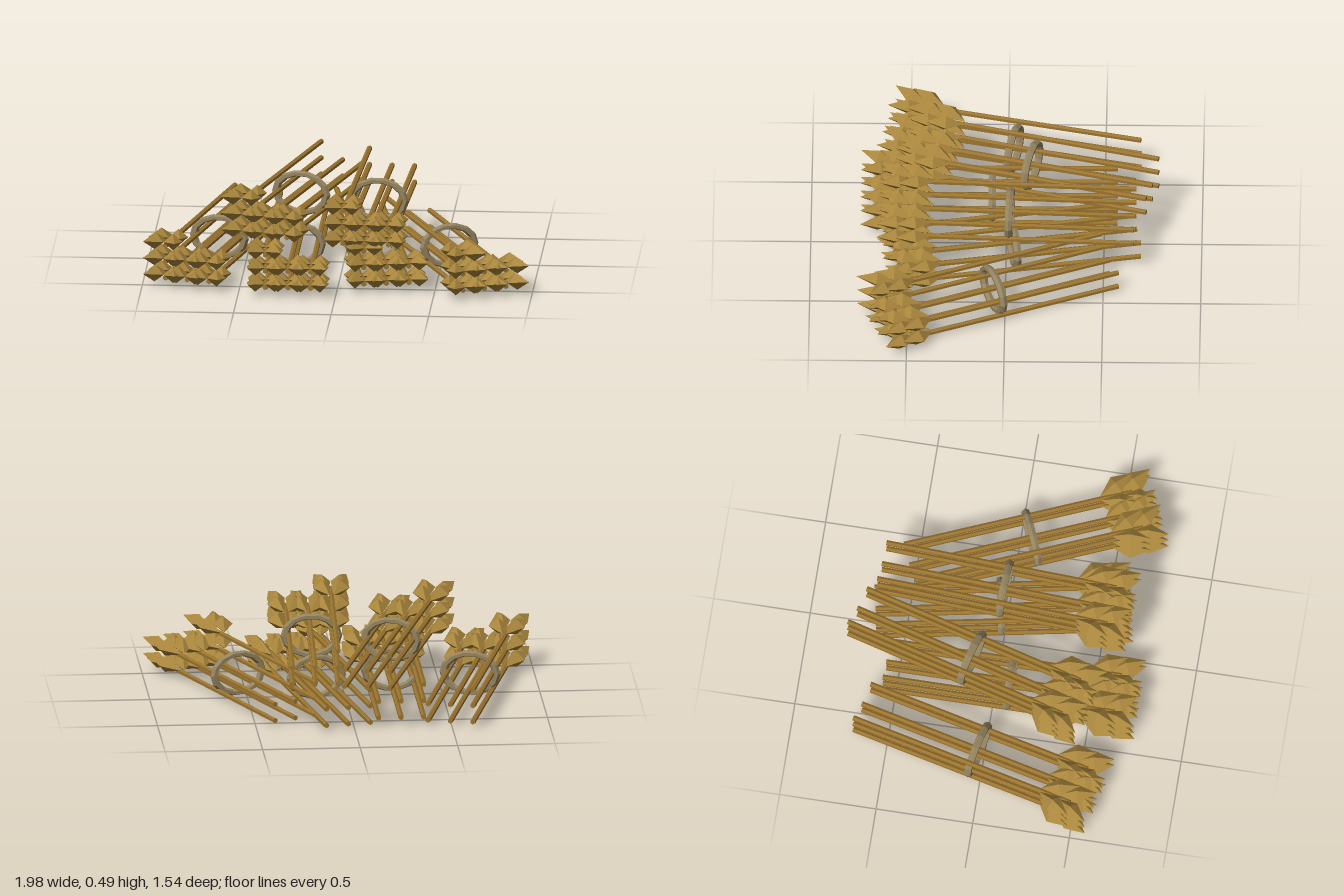
import * as THREE from 'three';

const mat = (name, color, flatShading = true) => {
  const m = new THREE.MeshStandardMaterial({ color, flatShading });
  m.name = name;
  return m;
};

export function createModel() {
  const model = new THREE.Group();
  model.name = 'wheatSheaves';

  const straw = mat('straw', 0x9a742f);
  const grain = mat('grain', 0xa8853c);
  const twine = mat('twine', 0x94835f);

  // Shared shapes: stalk along z, diamond kernel, oval binding ring
  const stalkGeo = new THREE.CylinderGeometry(0.014, 0.014, 1.2, 6);
  stalkGeo.rotateX(Math.PI / 2).translate(0, 0, -0.042);
  const kernelGeo = new THREE.OctahedronGeometry(1).scale(0.05, 0.043, 0.102);
  const ringGeo = new THREE.TorusGeometry(0.137, 0.021, 6, 14).scale(1, 0.75, 1);

  const add = (parent, geo, material, name, x, y, z) => {
    const m = new THREE.Mesh(geo, material);
    m.name = name;
    m.position.set(x, y, z);
    parent.add(m);
    return m;
  };

  // One stalk with two tiers of splayed kernels at its front end
  function makeStalk() {
    const g = new THREE.Group();
    g.name = 'wheatStalk';
    add(g, stalkGeo, straw, 'stem', 0, 0, 0);
    for (const z of [0.485, 0.58]) {
      for (const s of [-1, 1]) {
        const k = add(g, kernelGeo, grain, 'kernel', s * 0.0475, 0.028, z);
        k.rotation.set(-0.17, s * 0.375, 0, 'YXZ');
      }
    }
    return g;
  }

  // Seven stalks stacked in rows of three, tied by a ring
  function makeSheaf(x, y, z, degrees) {
    const g = new THREE.Group();
    g.name = 'sheaf';
    for (let i = 0; i < 7; i++) {
      const s = makeStalk();
      s.position.set((i % 3 - 1) * 0.116, 0.041 + Math.floor(i / 3) * 0.0865, 0);
      g.add(s);
    }
    add(g, ringGeo, twine, 'bindingRing', 0, 0.122, 0);
    g.position.set(x, y, z);
    g.rotation.y = THREE.MathUtils.degToRad(degrees);
    model.add(g);
  }

  // Four sheaves on the ground, two laid on top
  const sheaves = [
    [-0.64, 0, -0.03, -13.5],
    [-0.245, 0, 0.075, 0],
    [0.15, 0, -0.037, 10.5],
    [0.543, 0, 0.06, 22.8],
    [-0.227, 0.213, -0.128, -15.5],
    [0.173, 0.213, -0.02, -2.7],
  ];
  for (const s of sheaves) makeSheaf(...s);

  return model;
}
